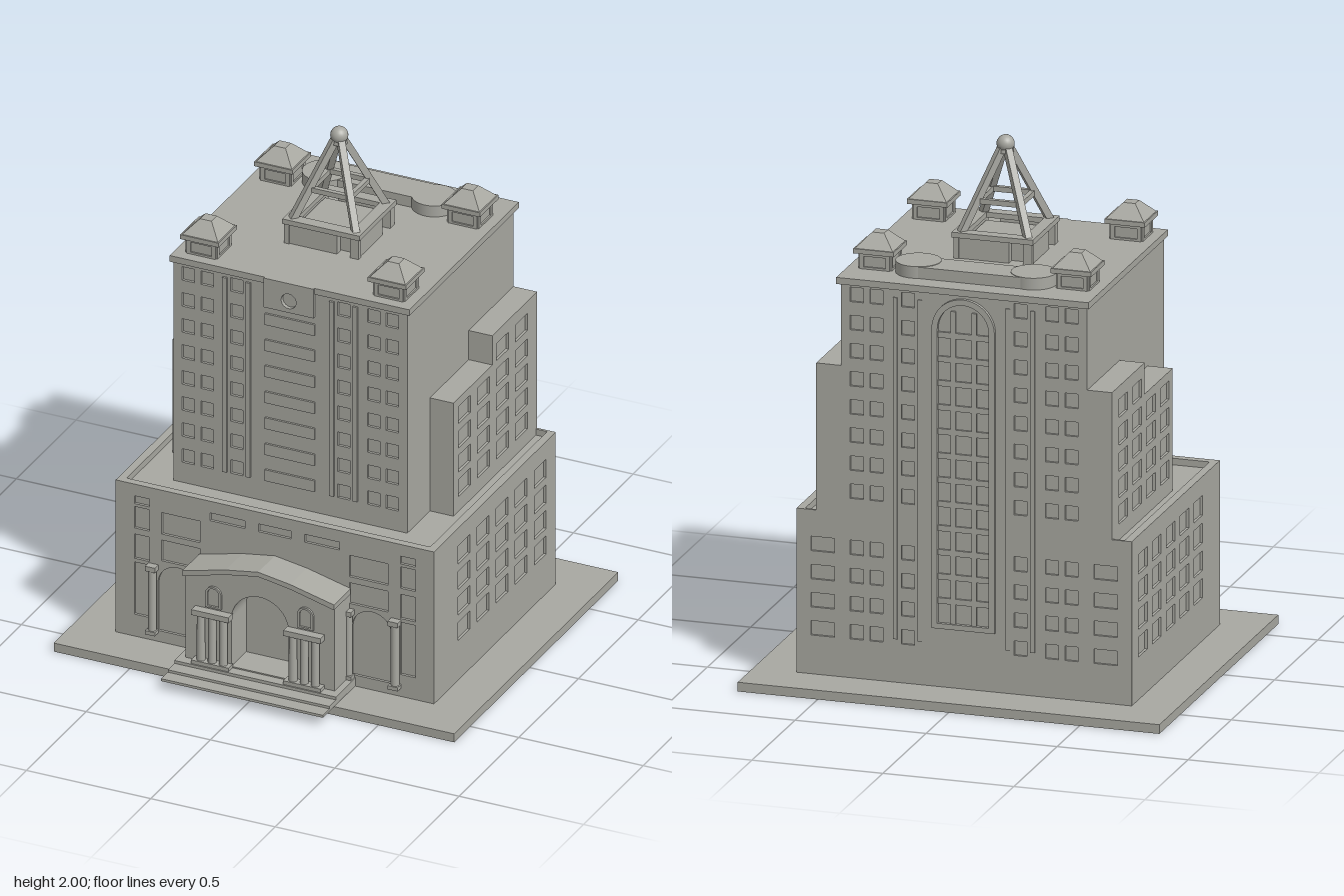
import * as THREE from 'three';

const stone = new THREE.MeshStandardMaterial({ color: 0xa8a8a1 });
stone.name = 'stone grey';
const SKIN = 0.01; // depth of window recesses

function add(parent, name, geometry, x = 0, y = 0, z = 0) {
  const mesh = new THREE.Mesh(geometry, stone);
  mesh.name = name;
  mesh.position.set(x, y, z);
  parent.add(mesh);
  return mesh;
}

// Box given by its limits
function block(parent, name, x0, x1, y0, y1, z0, z1) {
  return add(parent, name, new THREE.BoxGeometry(x1 - x0, y1 - y0, z1 - z0),
    (x0 + x1) / 2, (y0 + y1) / 2, (z0 + z1) / 2);
}

// Rectangle, or round-headed opening, as a path
function opening(x0, x1, y0, y1, arched = false, Kind = THREE.Path) {
  const p = new Kind(), r = (x1 - x0) / 2;
  p.moveTo(x0, y0).lineTo(x1, y0);
  if (arched) {
    p.lineTo(x1, y1 - r);
    p.absarc((x0 + x1) / 2, y1 - r, r, 0, Math.PI, false);
  } else p.lineTo(x1, y1).lineTo(x0, y1);
  p.lineTo(x0, y0);
  return p;
}

// Centred window
const win = (x, y, w, h) => opening(x - w / 2, x + w / 2, y - h / 2, y + h / 2);

function sheet(parent, name, shape, holes, depth = SKIN) {
  shape.holes.push(...holes);
  return add(parent, name, new THREE.ExtrudeGeometry(shape, { depth, bevelEnabled: false, curveSegments: 20 }));
}

const rect = (x0, x1, y0, y1) => opening(x0, x1, y0, y1, false, THREE.Shape);
const poly = pts => new THREE.Shape(pts.map(p => new THREE.Vector2(...p)));

export function createModel() {
  const model = new THREE.Group();
  model.name = 'building';
  const both = fn => [-1, 1].forEach(fn);

  // Ground slab and entrance steps
  block(model, 'groundSlab', -0.805, 0.805, 0, 0.035, -0.74, 0.635);
  [[0.735, 0.038, 0.048], [0.68, 0.048, 0.058], [0.625, 0.058, 0.07]].forEach(([z, y0, y1]) =>
    block(model, 'step', -0.325, 0.325, y0, y1, 0.46, z));

  // Podium core with parapet on three sides
  block(model, 'podiumCore', -0.63, 0.63, 0.035, 0.635, -0.55, 0.45);
  block(model, 'frontParapet', -0.63, 0.63, 0.635, 0.66, 0.43, 0.45);
  both(s => block(model, 'sideParapet', s * 0.62 - 0.01, s * 0.62 + 0.01, 0.635, 0.66, -0.55, 0.43));

  // Podium front wall
  const front = [opening(-0.065, 0.065, 0.58, 0.612)];
  both(s => {
    const span = (a, b, y0, y1, arch) => front.push(opening(Math.min(s * a, s * b), Math.max(s * a, s * b), y0, y1, arch));
    span(0.12, 0.26, 0.58, 0.612);
    span(0.505, 0.565, 0.58, 0.612);
    span(0.505, 0.565, 0.48, 0.568);
    span(0.505, 0.565, 0.355, 0.455);
    span(0.505, 0.565, 0.125, 0.34);
    span(0.3, 0.455, 0.48, 0.568);
    span(0.3, 0.455, 0.37, 0.455);
    span(0.31, 0.47, 0.08, 0.355, true);
  });
  sheet(model, 'podiumFrontWall', rect(-0.64, 0.64, 0.035, 0.66), front).position.z = 0.45;

  // Columns beside the side doors
  both(s => [0.3, 0.488].forEach(x => {
    add(model, 'doorColumn', new THREE.CylinderGeometry(0.016, 0.016, 0.25, 16), s * x, 0.205, 0.47);
    block(model, 'doorCapital', s * x - 0.02, s * x + 0.02, 0.33, 0.35, 0.46, 0.49);
    block(model, 'doorColumnBase', s * x - 0.02, s * x + 0.02, 0.07, 0.085, 0.46, 0.49);
  }));

  // Side walls of podium and wings, shared by both sides
  const columns = [0.21, 0.05, -0.11, -0.27, -0.43];
  both(s => {
    const place = (mesh, x) => { mesh.rotation.y = s * Math.PI / 2; mesh.position.x = s * x; };
    const u = z => -s * z;
    const podium = [], wing = [];
    columns.forEach((z, i) => {
      [0.235, 0.34, 0.445, 0.55].forEach(y => podium.push(win(u(z), y, 0.1, 0.075)));
      if (i > 0) [0.73, 0.83, 0.93, 1.03].forEach(y => wing.push(win(u(z), y, 0.1, 0.07)));
      if (i > 2) wing.push(win(u(z), 1.135, 0.1, 0.07));
    });
    const a = u(-0.56), b = u(0.46);
    place(sheet(model, 'podiumSideWall', rect(Math.min(a, b), Math.max(a, b), 0.035, 0.66), podium), 0.63);
    place(sheet(model, 'wingSideWall', poly([[u(0.14), 0.635], [u(-0.56), 0.635], [u(-0.56), 1.22],
      [u(-0.185), 1.22], [u(-0.185), 1.1], [u(0.14), 1.1]]), wing), 0.555);
    const x0 = Math.min(s * 0.46, s * 0.555), x1 = Math.max(s * 0.46, s * 0.555);
    block(model, 'lowWing', x0, x1, 0.63, 1.1, -0.185, 0.14);
    block(model, 'tallWing', x0, x1, 0.63, 1.22, -0.56, -0.185);
  });

  // Tower shaft
  block(model, 'towerCore', -0.47, 0.47, 0.63, 1.535, -0.55, 0.32);
  const rows = Array.from({ length: 8 }, (_, i) => 0.745 + i * 0.107);
  const towerWindows = () => rows.flatMap(y => [-0.41, -0.335, -0.215, 0.215, 0.335, 0.41]
    .map(x => win(x, y, 0.05, 0.055)));
  sheet(model, 'towerFrontWall', rect(-0.47, 0.47, 0.635, 1.535), towerWindows()).position.z = 0.32;

  // Raised front trim
  rows.slice(0, 7).forEach(y => block(model, 'frontWindowPanel', -0.1, 0.1, y - 0.023, y + 0.023, 0.33, 0.338));
  both(s => [0.168, 0.262].forEach(x =>
    block(model, 'frontPilaster', s * x - 0.009, s * x + 0.009, 0.72, 1.52, 0.33, 0.338)));
  const circle = new THREE.Path().absarc(0, 1.487, 0.03, 0, Math.PI * 2);
  sheet(model, 'roundWindowPanel', rect(-0.1, 0.1, 1.44, 1.56), [circle], 0.015).position.z = 0.33;

  // Rear walls
  const rear = new THREE.Group();
  rear.name = 'rearFacade';
  rear.rotation.y = Math.PI;
  rear.position.z = -0.55;
  model.add(rear);
  const lower = [0.21, 0.317, 0.424, 0.531].flatMap(y => [-0.54, -0.41, -0.335, -0.215, 0.215, 0.335, 0.41, 0.54]
    .map(x => win(x, y, Math.abs(x) > 0.5 ? 0.09 : 0.05, 0.055)));
  sheet(rear, 'podiumRearWall', rect(-0.64, 0.64, 0.035, 0.66), lower);
  sheet(rear, 'towerRearWall', rect(-0.47, 0.47, 0.66, 1.535), towerWindows());
  both(s => [0.168, 0.262].forEach(x =>
    block(rear, 'rearPilaster', s * x - 0.008, s * x + 0.008, 0.2, 1.5, 0.009, 0.015)));

  // Tall arched rear window with glazing bars
  sheet(rear, 'rearArchFrame', opening(-0.12, 0.12, 0.26, 1.52, true, THREE.Shape),
    [opening(-0.098, 0.098, 0.28, 1.498, true)], 0.024);
  [-0.04, 0.04].forEach(x => block(rear, 'glazingBar', x - 0.009, x + 0.009, 0.28, 1.47, 0.009, 0.018));
  for (let i = 0; i < 12; i++) {
    const y = 0.365 + i * 0.092;
    block(rear, 'glazingCrossbar', -0.098, 0.098, y - 0.011, y + 0.011, 0.009, 0.018);
  }

  // Portico with arch, niches and gable
  const gable = [[-0.3, 0.07], [0.3, 0.07], [0.3, 0.425], [0.13, 0.47], [0, 0.492], [-0.13, 0.47], [-0.3, 0.425]];
  sheet(model, 'portico', poly(gable), [opening(-0.115, 0.115, 0.075, 0.385, true)], 0.125).position.z = 0.46;
  sheet(model, 'gableCornice', poly([[-0.305, 0.41], [-0.13, 0.455], [0, 0.477], [0.13, 0.455], [0.305, 0.41],
    [0.305, 0.432], [0.13, 0.475], [0, 0.496], [-0.13, 0.475], [-0.305, 0.432]]), [], 0.14).position.z = 0.46;
  both(s => {
    const x = s * 0.185;
    sheet(model, 'nicheFrame', opening(x - 0.032, x + 0.032, 0.3, 0.388, true, THREE.Shape),
      [opening(x - 0.023, x + 0.023, 0.307, 0.38, true)], 0.008).position.z = 0.585;
    block(model, 'columnLintel', x - 0.075, x + 0.075, 0.27, 0.292, 0.58, 0.62);
    block(model, 'columnPlinth', x - 0.075, x + 0.075, 0.07, 0.085, 0.58, 0.62);
    [-0.045, 0, 0.045].forEach(d =>
      add(model, 'porticoColumn', new THREE.CylinderGeometry(0.015, 0.016, 0.19, 16), x + d, 0.178, 0.6));
  });

  // Roof slab and low rear penthouse with round ends
  block(model, 'roofSlab', -0.482, 0.482, 1.535, 1.56, -0.58, 0.337);
  block(model, 'penthouseBar', -0.22, 0.22, 1.56, 1.603, -0.5, -0.375);
  both(s => add(model, 'penthouseEnd', new THREE.CylinderGeometry(0.084, 0.084, 0.045, 32), s * 0.22, 1.5825, -0.42));

  // Corner pavilions
  both(s => [-0.39, 0.23].forEach(z => {
    const x = s * 0.377;
    block(model, 'pavilionBody', x - 0.058, x + 0.058, 1.56, 1.62, z - 0.058, z + 0.058);
    block(model, 'pavilionEave', x - 0.077, x + 0.077, 1.62, 1.638, z - 0.077, z + 0.077);
    const q = Math.SQRT2;
    const cap = new THREE.CylinderGeometry(0.023 * q, 0.072 * q, 0.052, 4, 1).toNonIndexed();
    cap.computeVertexNormals();
    add(model, 'pavilionRoof', cap, x, 1.664, z).rotation.y = Math.PI / 4;
    for (let i = 0; i < 4; i++) {
      const side = new THREE.Group();
      side.name = 'pavilionPanel';
      side.position.set(x, 0, z);
      side.rotation.y = i * Math.PI / 2;
      model.add(side);
      sheet(side, 'panelFrame', rect(-0.058, 0.058, 1.56, 1.62), [win(0, 1.588, 0.085, 0.04)], 0.006).position.z = 0.058;
    }
  }));

  // Spire base: low core with four partial walls and corner posts
  const spire = new THREE.Group();
  spire.name = 'spire';
  spire.position.set(0, 1.56, -0.08);
  model.add(spire);
  block(spire, 'spireCore', -0.11, 0.11, 0, 0.07, -0.11, 0.11);
  for (let i = 0; i < 4; i++) {
    const side = new THREE.Group();
    side.name = 'spireSide';
    side.rotation.y = i * Math.PI / 2;
    spire.add(side);
    block(side, 'spireWall', -0.15, 0.06, 0, 0.09, 0.115, 0.145);
    block(side, 'spireRim', -0.155, 0.155, 0.08, 0.1, 0.11, 0.155);
    block(side, 'spirePost', 0.13, 0.15, 0, 0.085, 0.13, 0.15);
    block(side, 'spireCrossbar', -0.085, 0.085, 0.195, 0.215, 0.07, 0.088);
    // Sloping leg
    const a = new THREE.Vector3(0.128, 0.09, 0.128), b = new THREE.Vector3(0.012, 0.39, 0.012);
    const dir = b.clone().sub(a);
    const leg = add(side, 'spireLeg', new THREE.BoxGeometry(0.026, dir.length(), 0.026));
    leg.position.copy(a).add(b).multiplyScalar(0.5);
    leg.quaternion.setFromUnitVectors(new THREE.Vector3(0, 1, 0), dir.normalize());
    leg.rotateY(Math.PI / 4);
  }
  add(spire, 'finialCollar', new THREE.CylinderGeometry(0.026, 0.03, 0.03, 16), 0, 0.39, 0);
  add(spire, 'finialBall', new THREE.SphereGeometry(0.033, 24, 16), 0, 0.407, 0);
  return model;
}
